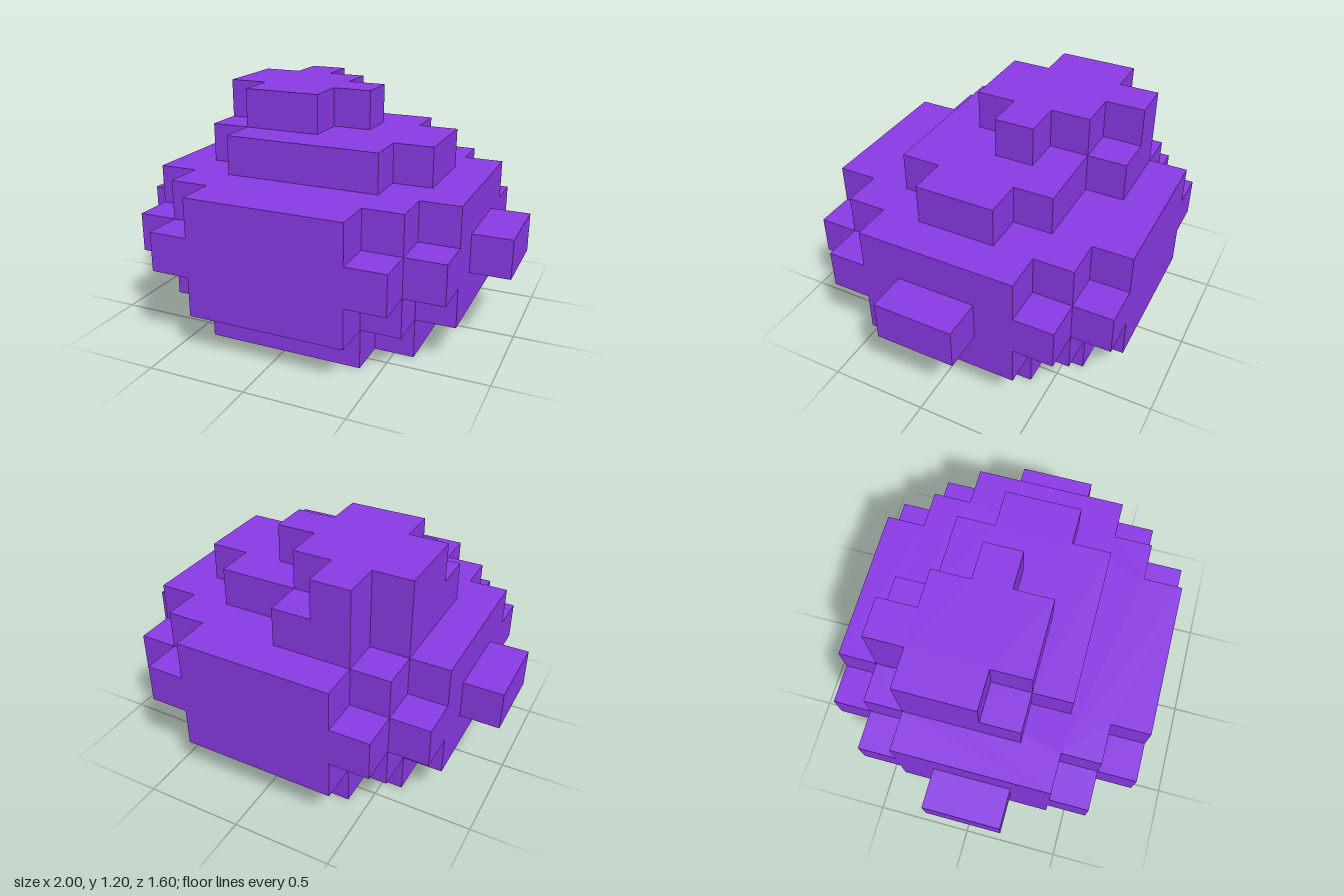
import * as THREE from 'three';

const CELL = 0.2;

// One block layer: bands run from back to front as [zBack, zFront, xMin, xMax] in cells.
function layerGeometry(bands) {
  const right = bands.flatMap(([z0, z1, , x1]) => [[x1, z0], [x1, z1]]);
  const left = bands.flatMap(([z0, z1, x0]) => [[x0, z0], [x0, z1]]).reverse();
  const outline = [...right, ...left]
    .filter((p, i, a) => i === 0 || p[0] !== a[i - 1][0] || p[1] !== a[i - 1][1])
    .map(([x, z]) => new THREE.Vector2(x * CELL, -z * CELL));
  const geometry = new THREE.ExtrudeGeometry(new THREE.Shape(outline), { depth: CELL, bevelEnabled: false });
  return geometry.rotateX(-Math.PI / 2);
}

// Front/back symmetric layer from half-widths listed centre outward as [zEdge, halfWidth].
function symmetricBands(steps) {
  const bands = [];
  steps.forEach(([z, w], i) => {
    if (i === 0) { bands.push([-z, z, -w, w]); return; }
    const inner = steps[i - 1][0];
    bands.unshift([-z, -inner, -w, w]);
    bands.push([inner, z, -w, w]);
  });
  return bands;
}

export function createModel() {
  const model = new THREE.Group();
  model.name = 'blockCreature';
  const purple = new THREE.MeshStandardMaterial({ color: 0x8c3ae8 });
  purple.name = 'purple';

  const rounded = symmetricBands([[2, 4], [3, 3], [4, 2]]);
  const layers = [
    ['base', symmetricBands([[2, 3], [3, 2]])],
    ['lowerBody', rounded],
    ['middleBody', symmetricBands([[3, 4], [4, 3]])],
    ['upperBody', rounded],
    ['lowerCap', [[-3, -2, -2, 0], [-2, -1, -3, 2], [-1, 1, -3, 3], [1, 2, -2, 2]]],
    ['upperCap', [[-3, -2, -2, -1], [-2, -1, -3, 0], [-1, 0, -3, 1], [0, 1, -2, 0]]],
  ];
  layers.forEach(([name, bands], i) => {
    const mesh = new THREE.Mesh(layerGeometry(bands), purple);
    mesh.name = name;
    mesh.position.y = i * CELL;
    model.add(mesh);
  });

  // Knobs sticking out of both sides
  for (const side of [1, -1]) {
    const knob = new THREE.Mesh(new THREE.BoxGeometry(CELL, CELL, 2 * CELL), purple);
    knob.name = side > 0 ? 'leftKnob' : 'rightKnob';
    knob.position.set(side * 4.5 * CELL, 2.5 * CELL, 0);
    model.add(knob);
  }
  return model;
}
